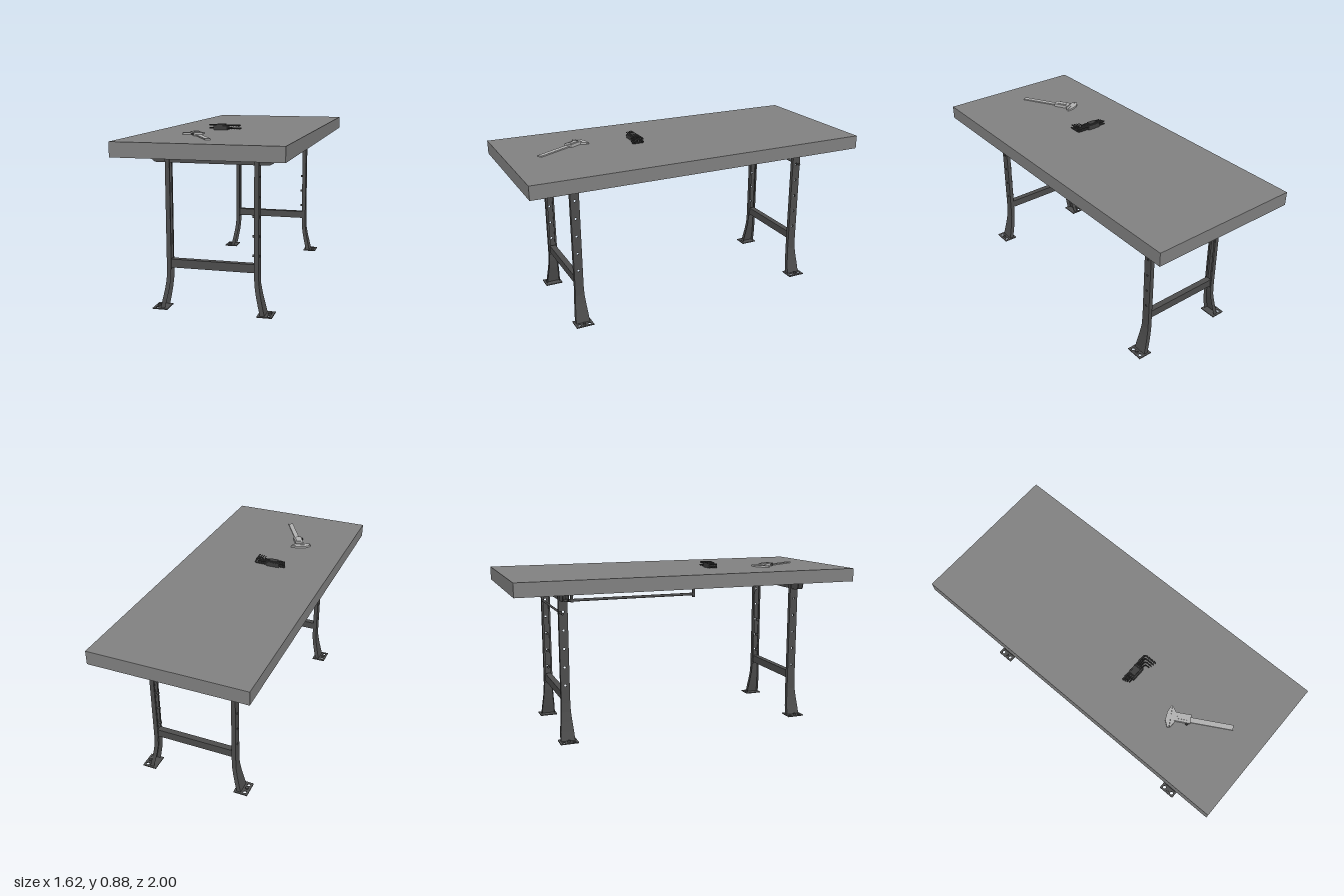
import * as THREE from 'three';

const mat = (name, color, side = THREE.FrontSide) => {
  const m = new THREE.MeshStandardMaterial({ color, side });
  m.name = name;
  return m;
};

export function createModel() {
  const topGrey = mat('table grey', 0x808080);
  const steel = mat('dark steel', 0x4c4c4c);
  const sheet = mat('dark steel sheet', 0x4c4c4c, THREE.DoubleSide);
  const black = mat('tool black', 0x3c3c3c);
  const silver = mat('tool silver', 0xb0b0b0);

  const add = (parent, name, geo, material, x = 0, y = 0, z = 0) => {
    const m = new THREE.Mesh(geo, material);
    m.name = name;
    m.position.set(x, y, z);
    parent.add(m);
    return m;
  };
  const box = (parent, name, material, w, h, d, x, y, z) =>
    add(parent, name, new THREE.BoxGeometry(w, h, d), material, x, y, z);
  const cyl = (r, h, n = 10) => new THREE.CylinderGeometry(r, r, h, n);
  const group = (parent, name, x = 0, y = 0, z = 0) => {
    const g = new THREE.Group();
    g.name = name;
    g.position.set(x, y, z);
    parent.add(g);
    return g;
  };
  const poly = pts => new THREE.Shape(pts.map(p => new THREE.Vector2(...p)));
  const hole = (shape, x, y, r) => {
    const p = new THREE.Path();
    p.absarc(x, y, r, 0, Math.PI * 2, true);
    shape.holes.push(p);
  };
  const extrude = (shape, depth) =>
    new THREE.ExtrudeGeometry(shape, { depth, bevelEnabled: false, curveSegments: 6 });

  const root = new THREE.Group();
  root.name = 'workbench';

  // Everything but the caliper is laid out along the turned bench
  const bench = group(root, 'bench');
  bench.rotation.y = Math.PI / 6;
  box(bench, 'tableTop', topGrey, 0.806, 0.071, 1.846, 0, 0.81, 0);

  // Splayed lower leg: an open channel lofted through [y, u, halfWidth]
  const stations = [[0.004, 0.262, 0.037], [0.05, 0.251, 0.034], [0.1, 0.24, 0.029],
    [0.15, 0.232, 0.0245], [0.2, 0.23, 0.023]];
  const flareGeo = () => {
    const pos = [], idx = [];
    for (const [y, u, w] of stations)
      pos.push(u - 0.022, y, -w, u, y, -w, u, y, w, u - 0.022, y, w);
    for (let i = 0; i < stations.length - 1; i++)
      for (let j = 0; j < 3; j++) {
        const a = i * 4 + j, b = a + 4;
        idx.push(a, b, a + 1, a + 1, b, b + 1);
      }
    const g = new THREE.BufferGeometry();
    g.setAttribute('position', new THREE.Float32BufferAttribute(pos, 3));
    g.setIndex(idx);
    const flat = g.toNonIndexed();
    flat.computeVertexNormals();
    return flat;
  };

  // One leg standing at +x: punched web, flanges, flare, foot and bolts
  const makeLeg = parent => {
    const leg = group(parent, 'leg');
    const web = poly([[-0.023, 0.2], [0.023, 0.2], [0.023, 0.765], [-0.023, 0.765]]);
    for (let i = 0; i < 5; i++) hole(web, 0, 0.29 + i * 0.095, 0.006);
    const w = add(leg, 'postWeb', extrude(web, 0.003), steel, 0.227);
    w.rotation.y = Math.PI / 2;
    for (const s of [-1, 1]) {
      box(leg, 'postFlange', steel, 0.022, 0.565, 0.003, 0.219, 0.4825, s * 0.0215);
      box(leg, 'postLip', steel, 0.003, 0.565, 0.01, 0.2095, 0.4825, s * 0.018);
    }
    add(leg, 'flaredShin', flareGeo(), sheet);
    const plate = poly([[0.225, -0.047], [0.3, -0.047], [0.3, 0.047], [0.225, 0.047]]);
    for (const s of [-1, 1]) hole(plate, 0.281, s * 0.027, 0.009);
    const p = add(leg, 'footPlate', extrude(plate, 0.005), steel, 0, 0.005, 0);
    p.rotation.x = Math.PI / 2;
    add(leg, 'footBolt', cyl(0.009, 0.009, 6), steel, 0.281, 0.009, 0);
    return leg;
  };

  // Rails are channels open underneath: two side plates and a top plate
  const railShape = new THREE.Shape();
  railShape.moveTo(-0.3, 0.765);
  railShape.lineTo(-0.3, 0.75);
  railShape.quadraticCurveTo(-0.297, 0.726, -0.265, 0.726);
  railShape.lineTo(0.265, 0.726);
  railShape.quadraticCurveTo(0.297, 0.726, 0.3, 0.75);
  railShape.lineTo(0.3, 0.765);
  const barShape = poly([[-0.212, 0.209], [0.212, 0.209], [0.212, 0.251], [-0.212, 0.251]]);
  const makeChannel = (parent, name, shape, length, top) => {
    const g = group(parent, name);
    for (const s of [-1, 1])
      add(g, 'channelSide', extrude(shape, 0.004), steel, 0, 0, s * 0.014 - 0.002);
    box(g, 'channelTop', steel, length, 0.004, 0.026, 0, top - 0.002, 0);
  };

  for (const v of [-0.656, 0.656]) {
    const frame = group(bench, 'legFrame', 0, 0, v);
    makeLeg(frame);
    makeLeg(frame).rotation.y = Math.PI;
    makeChannel(frame, 'topRail', railShape, 0.6, 0.765);
    makeChannel(frame, 'crossBar', barShape, 0.424, 0.251);
    for (let i = 0; i < 3; i++) {
      const b = add(frame, 'postKnob', cyl(0.007, 0.014, 8), steel, 0.202, 0.29 + i * 0.095, 0);
      b.rotation.z = Math.PI / 2;
    }
  }

  // Hanging rods below the top
  const longRod = add(bench, 'longRod', cyl(0.007, 0.69), steel, -0.268, 0.731, -0.315);
  longRod.rotation.x = Math.PI / 2;
  box(bench, 'rodHanger', steel, 0.016, 0.058, 0.012, -0.268, 0.744, 0.03);
  box(bench, 'rodHanger', steel, 0.016, 0.05, 0.012, -0.268, 0.746, -0.62);
  const shortRod = add(bench, 'shortRod', cyl(0.006, 0.524), steel, -0.025, 0.667, -0.672);
  shortRod.rotation.z = Math.PI / 2;

  // Folding hex key set: a holder with two layers of nested bent keys
  const keys = group(bench, 'hexKeySet', -0.073, 0.846, 0.206);
  box(keys, 'keyHolder', black, 0.075, 0.022, 0.046, -0.012, 0.011, 0);
  box(keys, 'keyHolderCap', black, 0.045, 0.03, 0.03, -0.012, 0.015, 0);
  for (let row = 0; row < 2; row++)
    for (let i = 0; i < 4; i++) {
      const bend = 0.092 - i * 0.013 - row * 0.005, v = -0.019 + i * 0.011;
      const r = 0.004 - i * 0.0005, y = 0.008 + row * 0.015;
      const path = new THREE.CurvePath();
      const a = new THREE.Vector3(-0.085 + i * 0.004, y, v);
      const b = new THREE.Vector3(bend - 0.012, y, v);
      const c = new THREE.Vector3(bend, y, v + 0.012);
      path.add(new THREE.LineCurve3(a, b));
      path.add(new THREE.QuadraticBezierCurve3(b, new THREE.Vector3(bend, y, v), c));
      path.add(new THREE.LineCurve3(c, new THREE.Vector3(bend, y, 0.05 - i * 0.003)));
      add(keys, 'hexKey', new THREE.TubeGeometry(path, 30, r, 6), black);
    }

  // Sliding caliper lying flat; outlines are drawn in (x, -z)
  const caliper = group(root, 'caliper', 0.112, 0.846, 0.492);
  caliper.rotation.y = -Math.PI / 6;
  const flat = (name, pts, y, h) => {
    const m = add(caliper, name, extrude(poly(pts), h), silver, 0, y, 0);
    m.rotation.x = -Math.PI / 2;
  };
  flat('beam', [[0, -0.013], [0.315, -0.013], [0.315, 0.013], [0, 0.013]], 0.001, 0.006);
  flat('fixedJaw', [[-0.018, -0.022], [-0.004, -0.056], [0.006, -0.056], [0.006, 0.056],
    [0.001, 0.056], [-0.014, 0.02]], 0, 0.009);
  flat('slidingJaw', [[0.007, -0.056], [0.014, -0.05], [0.032, -0.02], [0.032, 0.02],
    [0.013, 0.05], [0.007, 0.05]], 0, 0.01);
  flat('slider', [[0.02, -0.02], [0.105, -0.02], [0.105, 0.024], [0.02, 0.024]], 0, 0.016);
  box(caliper, 'display', silver, 0.05, 0.005, 0.024, 0.062, 0.017, -0.004);
  add(caliper, 'thumbWheel', cyl(0.008, 0.01, 12), black, 0.088, 0.008, 0.022);

  return root;
}
